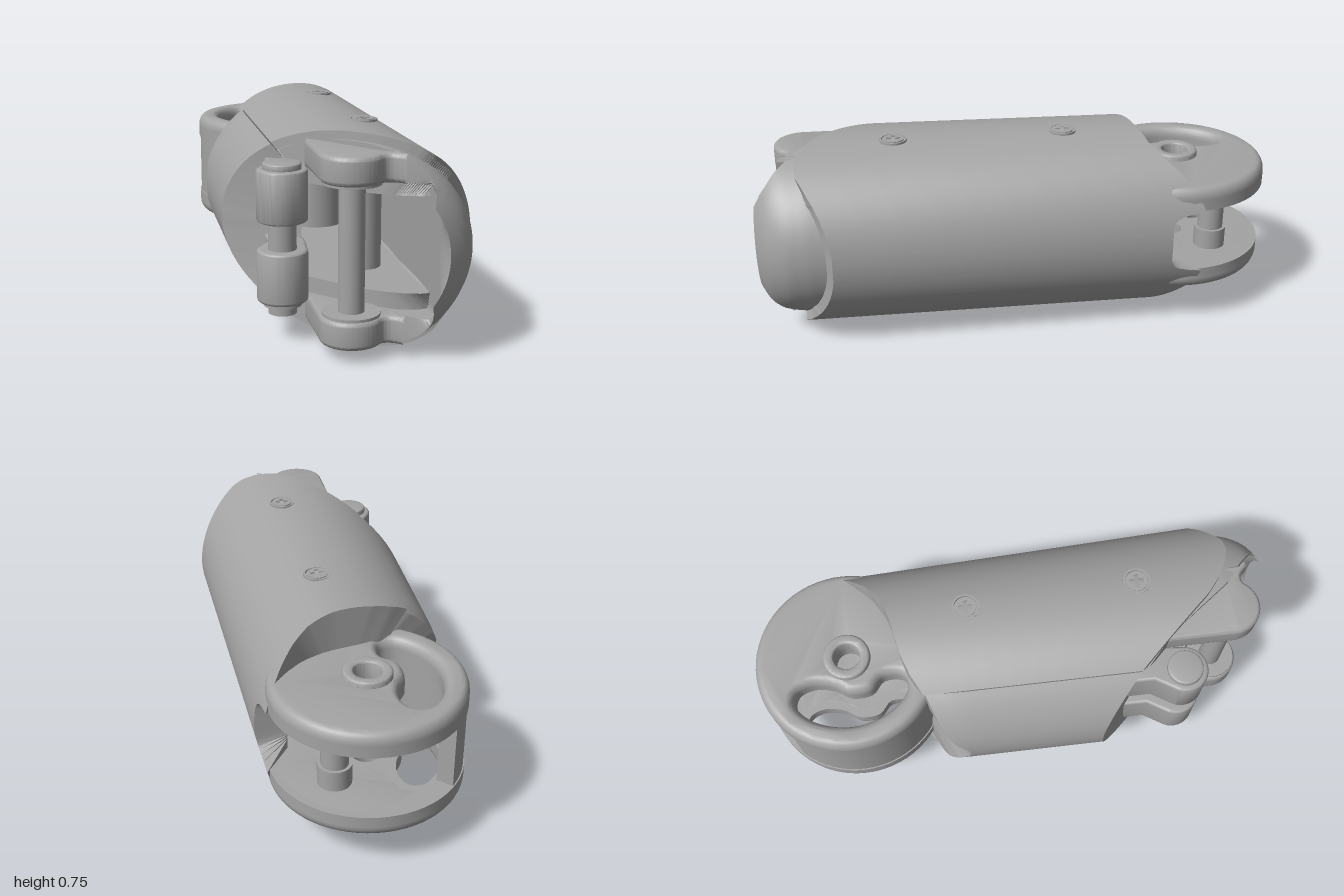
import * as THREE from 'three';
import { toCreasedNormals } from 'three/addons/utils/BufferGeometryUtils.js';

const MID = 0.375; // height of the long axis
const grey = new THREE.MeshStandardMaterial({ color: 0xa4a4a4 });
grey.name = 'grey';

// Piecewise linear lookup in [x, value] pairs
function lookup(table, x) {
  if (x <= table[0][0]) return table[0][1];
  for (let i = 1; i < table.length; i++) {
    const [x0, v0] = table[i - 1], [x1, v1] = table[i];
    if (x <= x1) return v0 + (v1 - v0) * (x - x0) / (x1 - x0);
  }
  return table[table.length - 1][1];
}

// Distance factor from the axis along (x, y) to a box channel
function channel(x, y, half) {
  const kx = x > 0 ? 0.23 / x : x < 0 ? -0.15 / x : 99;
  const ky = y !== 0 ? half / Math.abs(y) : 99;
  return Math.min(kx, ky);
}

// Thick curved sector: elliptical outside, box channel inside, ends cut by zBack and zFront
function sector({ from, to, steps, rows, radii, half, zBack, zFront }) {
  const pos = [], idx = [], loop = 2 * (rows + 1);
  for (let i = 0; i <= steps; i++) {
    const a = from + (to - from) * i / steps, c = Math.cos(a), s = Math.sin(a);
    const point = (t, inner) => {
      let [rx, ry] = radii(0, c);
      let x = rx * c, y = ry * s;
      if (inner) { const k = Math.min(0.93, channel(x, y, half)); x *= k; y *= k; }
      const z0 = zBack(x, y), z = z0 + (zFront(x, y) - z0) * t;
      [rx, ry] = radii(z, c);
      x = rx * c; y = ry * s;
      if (inner) { const k = Math.min(0.93, channel(x, y, half)); x *= k; y *= k; }
      pos.push(x, y + MID, z);
    };
    for (let j = 0; j <= rows; j++) point(j / rows, false);
    for (let j = rows; j >= 0; j--) point(j / rows, true);
  }
  for (let i = 0; i < steps; i++) {
    for (let j = 0; j < loop; j++) {
      const k = (j + 1) % loop;
      const p = i * loop + j, q = i * loop + k, r = p + loop, s = q + loop;
      idx.push(p, r, s, p, s, q);
    }
  }
  const e = steps * loop;
  for (let j = 0; j < rows; j++) {
    const n = loop - 1 - j;
    idx.push(j, j + 1, n - 1, j, n - 1, n);
    idx.push(e + j, e + n - 1, e + j + 1, e + j, e + n, e + n - 1);
  }
  const g = new THREE.BufferGeometry();
  g.setAttribute('position', new THREE.Float32BufferAttribute(pos, 3));
  g.setIndex(idx);
  return toCreasedNormals(g, 0.6);
}

// Horizontal slab from a plan outline drawn in (x, -z)
function slab(shape, y0, y1, bevel = 0, size = bevel) {
  const g = new THREE.ExtrudeGeometry(shape, {
    depth: y1 - y0 - 2 * bevel, bevelEnabled: bevel > 0, bevelThickness: bevel,
    bevelSize: size, bevelOffset: -size, bevelSegments: 5, curveSegments: 32,
  });
  g.rotateX(-Math.PI / 2);
  g.translate(0, y0 + bevel, 0);
  return toCreasedNormals(g, 0.6);
}

function rod(r, y0, y1, x, z) {
  return new THREE.CylinderGeometry(r, r, y1 - y0, 32).translate(x, (y0 + y1) / 2, z);
}

function disc(x, z, r) {
  return new THREE.Shape().absarc(x, -z, r, 0, Math.PI * 2, false);
}

export function createModel() {
  const model = new THREE.Group();
  const add = (name, geometry) => {
    const mesh = new THREE.Mesh(geometry, grey);
    mesh.name = name;
    model.add(mesh);
  };
  const cut = Math.acos(-0.61);

  // Main cover, with a rounded notch at the back of its right-hand wall
  const coverBack = [[-0.25, -0.37], [-0.18, -0.41], [-0.1, -0.44], [0.05, -0.47],
    [0.15, -0.5], [0.22, -0.55], [0.28, -0.61], [0.32, -0.66], [0.36, -0.7]];
  const coverFront = [[-0.25, 0.45], [0, 0.73], [0.07, 0.79], [0.13, 0.825], [0.18, 0.84],
    [0.22, 0.835], [0.28, 0.79], [0.375, 0.71]];
  const notch = (x, y) => x < 0.1 || Math.abs(y) > 0.128 ? -9
    : -0.57 - 0.13 * Math.pow(Math.abs(y) / 0.128, 8);
  add('cover', sector({
    from: -cut, to: cut, steps: 180, rows: 10, half: 0.17,
    radii: (z, c) => [c < 0 ? 0.41 : 0.41 + (0.378 + 0.048 * z - 0.41) * Math.min(1, c * 3), 0.374],
    zBack: (x, y) => Math.max(lookup(coverBack, x), notch(x, y)),
    zFront: (x) => lookup(coverFront, x),
  }));

  // Narrow body half on the other side of the seam
  const sideBack = [[-0.412, -0.22], [-0.4, -0.27], [-0.38, -0.305], [-0.34, -0.33], [-0.25, -0.37], [-0.15, -0.4]];
  const sideFront = [[-0.41, 0.3], [-0.25, 0.45], [-0.15, 0.5]];
  add('sideBody', sector({
    from: cut, to: Math.PI * 2 - cut, steps: 64, rows: 10, half: 0.17,
    radii: (z) => [0.412 - 0.6 * Math.max(0, -0.25 - z) ** 2 * 4, 0.365],
    zBack: (x) => lookup(sideBack, x),
    zFront: (x) => lookup(sideFront, x),
  }));

  // Rounded nose, set inside the front of the cover
  const nose = [[-0.25, 0.46], [-0.12, 0.59], [0.05, 0.82], [0.2, 0.93], [0.29, 1], [0.375, 1]];
  const shrinkX = [[0.8, 1], [0.88, 0.97], [0.95, 0.87], [0.98, 0.76], [1, 0.66]];
  const shrinkY = [[0.8, 1], [0.92, 0.96], [0.97, 0.87], [1, 0.75]];
  add('nose', sector({
    from: -cut, to: cut, steps: 128, rows: 16, half: 0.23,
    radii: (z) => [0.375 * lookup(shrinkX, z), 0.345 * lookup(shrinkY, z)],
    zBack: (x) => lookup(nose, x) - 0.35,
    zFront: (x) => lookup(nose, x),
  }));

  // Rear fork: two slotted round ears joined by a curved wall
  const hub = [-0.04, -0.65], R = 0.355;
  const slot = [[-0.2, -0.86], [-0.27, -0.79], [-0.305, -0.65], [-0.27, -0.52], [-0.19, -0.435],
    [-0.13, -0.44], [-0.12, -0.52], [-0.17, -0.57], [-0.175, -0.65], [-0.14, -0.71], [-0.125, -0.79], [-0.15, -0.85]];
  const slotPath = new THREE.CatmullRomCurve3(slot.map(([x, z]) => new THREE.Vector3(x, -z, 0)), true);
  const ear = disc(...hub, R);
  ear.holes.push(new THREE.Path(slotPath.getPoints(60).slice(0, -1).map((p) => new THREE.Vector2(p.x, p.y))));
  ear.holes.push(disc(...hub, 0.05));
  const ring = disc(...hub, 0.09);
  ring.holes.push(disc(...hub, 0.05));
  add('upperEar', slab(ear, 0.5, 0.59, 0.044, 0.03));
  add('upperEarInside', slab(ear, 0.5, 0.545));
  add('lowerEar', slab(ear, 0.165, 0.25, 0.042, 0.03));
  add('lowerEarInside', slab(ear, 0.207, 0.25));
  add('upperHub', slab(ring, 0.52, 0.613, 0.012));
  add('lowerHub', slab(ring, 0.15, 0.23, 0.012));
  const wall = new THREE.Shape();
  wall.absarc(hub[0], -hub[1], R - 0.005, 2.4, 4.2, false);
  wall.absarc(hub[0], -hub[1], 0.285, 4.2, 2.4, true);
  add('forkWall', slab(wall, 0.24, 0.51));

  // Stepped stop pin between the ears
  add('stopPin', rod(0.05, 0.25, 0.5, 0.1, -0.78));
  add('stopPinLowerCollar', rod(0.062, 0.24, 0.33, 0.1, -0.78));
  add('stopPinUpperCollar', rod(0.062, 0.43, 0.51, 0.1, -0.78));

  // Front hinge lugs and pin
  const lug = new THREE.Shape();
  lug.moveTo(-0.15, -0.55);
  lug.lineTo(-0.15, -0.82);
  lug.absarc(-0.04, -0.82, 0.11, Math.PI, Math.PI * 1.75, false);
  lug.quadraticCurveTo(0.07, -0.85, 0.12, -0.91);
  lug.lineTo(0.12, -0.8);
  lug.closePath();
  for (const [name, y0, y1] of [['lowerFrontLug', 0.047, 0.147], ['upperFrontLug', 0.603, 0.703]]) {
    add(name, slab(lug, y0, y1, 0.018));
  }
  add('frontPin', rod(0.045, 0.1, 0.65, -0.04, 0.82));
  add('frontPinLowerCollar', rod(0.1, 0.13, 0.155, -0.04, 0.82));
  add('frontPinUpperCollar', rod(0.1, 0.597, 0.62, -0.04, 0.82));

  // Side hinge knuckles and pin
  const knuckle = new THREE.Shape();
  knuckle.moveTo(-0.14, -0.4);
  knuckle.lineTo(-0.27, -0.4);
  knuckle.lineTo(-0.27, -0.5);
  knuckle.lineTo(-0.32, -0.58);
  knuckle.absarc(-0.24, -0.62, 0.09, 2.8, Math.PI * 2, false);
  knuckle.lineTo(-0.14, -0.53);
  knuckle.closePath();
  add('lowerKnuckle', slab(knuckle, 0.14, 0.327, 0.012));
  add('upperKnuckle', slab(knuckle, 0.427, 0.613, 0.012));
  add('sidePin', rod(0.05, 0.095, 0.6, -0.24, 0.62));
  add('sidePinHead', slab(disc(-0.24, 0.62, 0.068), 0.6, 0.635, 0.008));
  add('sidePinFoot', rod(0.068, 0.125, 0.15, -0.24, 0.62));

  // Screw posts inside the channel
  add('rearPostTop', rod(0.13, 0.375, 0.56, 0.035, -0.18));
  add('rearPostBase', rod(0.115, 0.19, 0.38, 0.035, -0.18));
  add('frontPost', rod(0.07, 0.19, 0.56, 0.08, 0.47));

  // Cross-head screws on top of the cover
  for (const [x, z] of [[0.05, -0.18], [0.08, 0.47]]) {
    const head = disc(x, z, 0.04);
    const a = 0.008, b = 0.026;
    const cross = [[a, a], [a, b], [-a, b], [-a, a], [-b, a], [-b, -a], [-a, -a], [-a, -b], [a, -b], [a, -a], [b, -a], [b, a]];
    head.holes.push(new THREE.Path(cross.map(([u, v]) => new THREE.Vector2(x + u, v - z))));
    add('screwHead', slab(head, 0.742, 0.751));
    const rim = disc(x, z, 0.052);
    rim.holes.push(disc(x, z, 0.045));
    add('screwRim', slab(rim, 0.742, 0.75));
  }
  return model;
}
